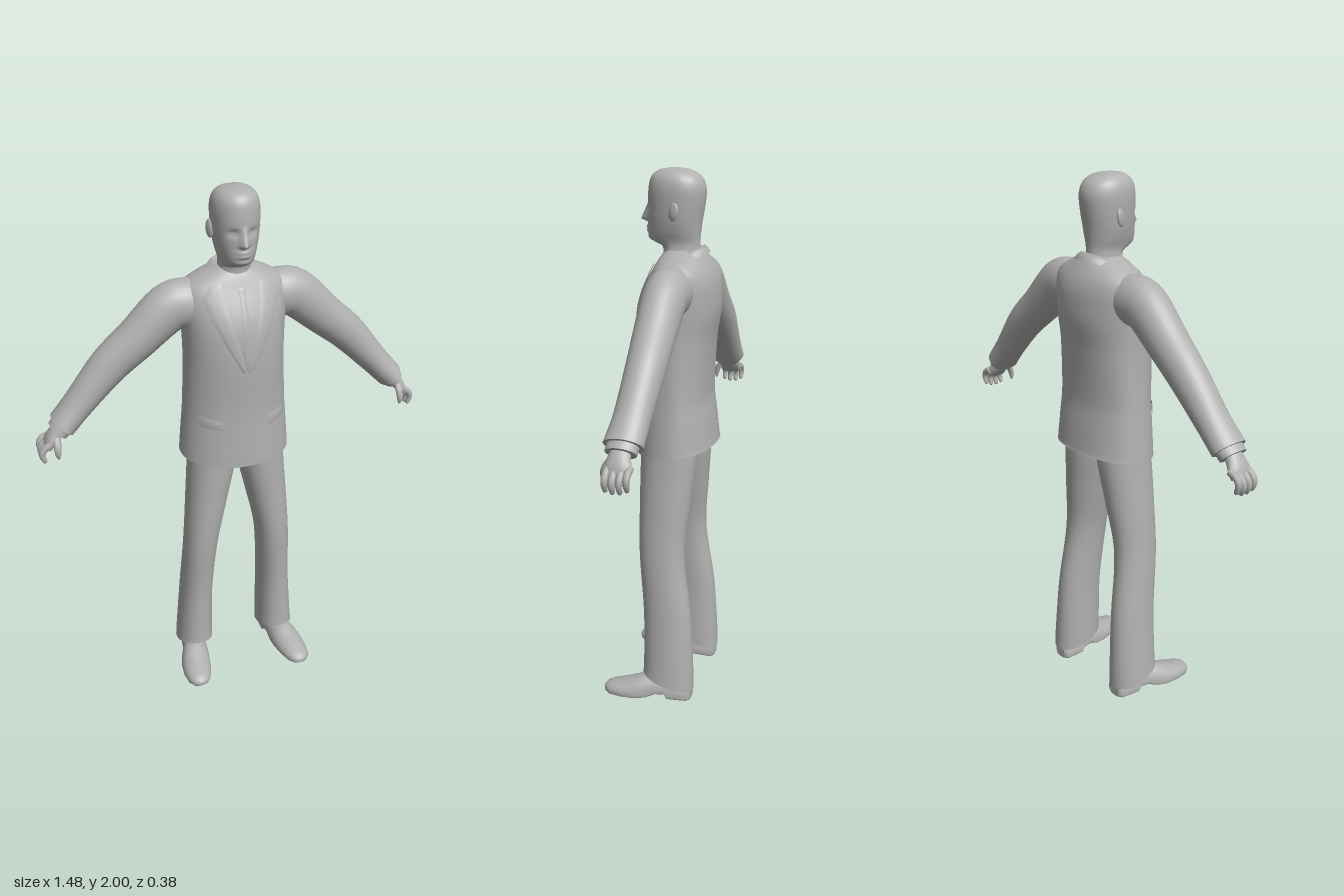
import * as THREE from 'three';

const V = (x, y, z) => new THREE.Vector3(x, y, z);
const suit = new THREE.MeshStandardMaterial({ color: 0xb0b0b0, side: THREE.DoubleSide });
suit.name = 'plain grey';

// Smooth interpolation through table rows keyed by their first column
function sample(table, t) {
  let i = 0;
  while (i < table.length - 2 && t > table[i + 1][0]) i++;
  const a = table[i], b = table[i + 1], p = table[Math.max(i - 1, 0)], q = table[Math.min(i + 2, table.length - 1)];
  const h = b[0] - a[0], u = Math.min(1, Math.max(0, (t - a[0]) / h));
  return a.slice(1).map((v, k) => {
    const w = b[k + 1], m0 = (w - p[k + 1]) / (b[0] - p[0]) * h, m1 = (q[k + 1] - v) / (q[0] - a[0]) * h;
    const u2 = u * u, u3 = u2 * u;
    return (2 * u3 - 3 * u2 + 1) * v + (u3 - 2 * u2 + u) * m0 + (3 * u2 - 2 * u3) * w + (u3 - u2) * m1;
  });
}

// Skin over closed rings of equal length, with flat caps
function loft(rings, caps = true) {
  const n = rings[0].length, pos = [], idx = [];
  rings.forEach(r => r.forEach(p => pos.push(p.x, p.y, p.z)));
  for (let i = 0; i < rings.length - 1; i++) for (let j = 0; j < n; j++) {
    const k = (j + 1) % n, a = i * n + j, b = i * n + k;
    idx.push(a, a + n, b, b, a + n, b + n);
  }
  if (caps) [rings[0], rings[rings.length - 1]].forEach((r, end) => {
    const c = pos.length / 3, m = r.reduce((s, p) => s.add(p), V(0, 0, 0)).divideScalar(n);
    [m, ...r].forEach(p => pos.push(p.x, p.y, p.z));
    for (let j = 0; j < n; j++) {
      const a = c + 1 + j, b = c + 1 + (j + 1) % n;
      end ? idx.push(c, b, a) : idx.push(c, a, b);
    }
  });
  return build(pos, idx);
}

function build(pos, idx) {
  const g = new THREE.BufferGeometry();
  g.setAttribute('position', new THREE.Float32BufferAttribute(pos, 3));
  g.setIndex(idx);
  g.computeVertexNormals();
  return g;
}

function mirrored(g) {
  const pos = Array.from(g.attributes.position.array, (v, i) => i % 3 ? v : -v);
  return build(pos, Array.from(g.index.array).reverse());
}

// Level ring with separate front and back depth
function ring(y, cx, hw, zf, zb, zc, e = 2, n = 40) {
  return Array.from({ length: n }, (_, j) => {
    const a = j / n * Math.PI * 2, c = Math.cos(a), s = Math.sin(a);
    const pw = v => Math.sign(v) * Math.abs(v) ** (2 / e);
    return V(cx + hw * pw(c), y, zc + (s > 0 ? zf - zc : zc - zb) * pw(s));
  });
}

// Round limb along points [x, y, z, radius, depthRadius]
function limb(pts, n = 20) {
  return loft(pts.map((p, i) => {
    const a = pts[Math.max(i - 1, 0)], b = pts[Math.min(i + 1, pts.length - 1)];
    const d = V(b[0] - a[0], b[1] - a[1], 0).normalize(), u = V(d.y, -d.x, 0);
    return Array.from({ length: n }, (_, j) => {
      const t = j / n * Math.PI * 2;
      return V(p[0], p[1], p[2]).addScaledVector(u, p[3] * Math.cos(t)).add(V(0, 0, p[4] * Math.sin(t)));
    });
  }));
}

// Smoothed limb: resamples the points
function smoothLimb(pts, steps, n) {
  const keyed = pts.map((p, i) => [i, ...p]);
  return limb(Array.from({ length: steps + 1 }, (_, i) => sample(keyed, i / steps * (pts.length - 1))), n);
}

// Jacket profile: y, half width, front z, back z
const jacketRows = [
  [0.99, 0.212, 0.105, -0.19], [1.1, 0.203, 0.102, -0.177], [1.2, 0.195, 0.1, -0.165], [1.4, 0.187, 0.107, -0.175],
  [1.5, 0.19, 0.1, -0.19], [1.56, 0.196, 0.085, -0.19], [1.61, 0.2, 0.063, -0.185], [1.65, 0.195, 0.042, -0.172],
  [1.675, 0.165, 0.03, -0.158], [1.7, 0.115, 0.018, -0.142], [1.72, 0.07, 0.0, -0.125]];
const ZC = -0.06, EXP = 2.15;
function frontZ(x, y) {
  const [hw, zf] = sample(jacketRows, y);
  return ZC + (zf - ZC) * Math.max(0, 1 - Math.abs(x / hw) ** EXP) ** (1 / EXP);
}

// Thin cloth piece lying on the jacket front between two edge lines
function patch(edgeA, edgeB, lift, rows = 24, cols = 6) {
  const A = edgeA.map((p, i) => [i, ...p]), B = edgeB.map((p, i) => [i, ...p]), pos = [], idx = [];
  const lerp = (T, t) => {
    const i = Math.min(Math.floor(t), T.length - 2), f = t - i;
    return [1, 2].map(k => T[i][k] * (1 - f) + T[i + 1][k] * f);
  };
  for (let r = 0; r <= rows; r++) {
    const t = r / rows * (A.length - 1), a = lerp(A, t), b = lerp(B, t);
    for (let c = 0; c <= cols; c++) {
      const x = a[0] + (b[0] - a[0]) * c / cols, y = a[1] + (b[1] - a[1]) * c / cols;
      const edge = c === 0 || c === cols || r === 0 || r === rows;
      pos.push(x, y, frontZ(x, y) + (edge ? lift * 0.6 : lift));
      if (r < rows && c < cols) {
        const i = r * (cols + 1) + c, d = i + cols + 1;
        idx.push(i, d, i + 1, i + 1, d, d + 1);
      }
    }
  }
  return build(pos, idx);
}

export function createModel() {
  const model = new THREE.Group();
  const add = (name, g) => {
    const m = new THREE.Mesh(g, suit);
    m.name = name;
    model.add(m);
  };
  const pair = (name, g) => { add('left ' + name, g); add('right ' + name, mirrored(g)); };

  // Jacket body with a hem dipping to the front
  const body = [];
  for (let i = 0; i <= 44; i++) {
    const y = 0.99 + 0.73 * i / 44, [hw, zf, zb] = sample(jacketRows, y);
    body.push(ring(y, 0, hw, zf, zb, ZC, EXP, 56));
  }
  body[0].forEach(p => { p.y -= 0.1 * (p.z + 0.04); });
  add('jacket', loft(body));

  // Collar, higher at the nape
  const collar = [[1.672, 0.105, 0.05, -0.152], [1.69, 0.092, 0.04, -0.145], [1.706, 0.074, 0.03, -0.133], [1.69, 0.062, 0.02, -0.122]]
    .map(([y, hw, zf, zb]) => ring(y, 0, hw, zf, zb, ZC));
  collar.forEach(r => r.forEach(p => { p.y -= 0.42 * (p.z + 0.06); }));
  add('collar', loft(collar, false));

  // Lapels, tie, front edge and pocket flaps
  pair('lapel', patch([[0.07, 1.68], [0.062, 1.62], [0.05, 1.56], [0.025, 1.46], [0, 1.37]],
    [[0.105, 1.67], [0.14, 1.63], [0.115, 1.56], [0.065, 1.46], [0.01, 1.36]], 0.007));
  add('tie', patch([[-0.014, 1.66], [-0.01, 1.63], [-0.02, 1.46], [0, 1.38]], [[0.014, 1.66], [0.01, 1.63], [0.02, 1.46], [0.001, 1.38]], 0.004));
  add('jacket front edge', patch([[-0.02, 1.37], [-0.035, 1.25], [-0.037, 1.0]], [[0.02, 1.37], [0.02, 1.25], [0.02, 1.0]], 0.004));
  pair('pocket flap', patch([[0.085, 1.175], [0.087, 1.135]], [[0.165, 1.185], [0.166, 1.145]], 0.006, 4));

  // Trouser legs: y, inner x, outer x, front z, back z
  const legRows = [[0.07, 0.105, 0.252, 0.042, -0.158], [0.18, 0.104, 0.243, 0.04, -0.153], [0.35, 0.102, 0.23, 0.043, -0.142],
    [0.6, 0.082, 0.215, 0.064, -0.11], [0.8, 0.04, 0.2, 0.07, -0.125], [0.97, 0.002, 0.187, 0.072, -0.14], [1.08, -0.01, 0.18, 0.07, -0.14]];
  const leg = [];
  for (let i = 0; i <= 30; i++) {
    const y = 0.07 + 1.01 * i / 30, [xi, xo, zf, zb] = sample(legRows, y);
    leg.push(ring(y, (xi + xo) / 2, (xo - xi) / 2, zf, zb, (zf + zb) / 2, 2.15, 32));
  }
  leg[0].forEach(p => { p.y = 0.088 + 0.3 * p.z; });
  pair('trouser leg', loft(leg));

  // Shoes with raised arch: z, centre x, half width, top, underside
  const shoeRows = [[-0.15, 0.175, 0.025, 0.06, 0], [-0.14, 0.175, 0.044, 0.075, 0], [-0.065, 0.18, 0.05, 0.09, 0], [-0.055, 0.181, 0.05, 0.09, 0.018],
    [-0.02, 0.188, 0.05, 0.095, 0.018], [0.02, 0.197, 0.058, 0.095, 0.004], [0.06, 0.205, 0.061, 0.077, 0], [0.11, 0.212, 0.058, 0.059, 0],
    [0.16, 0.217, 0.046, 0.046, 0], [0.182, 0.218, 0.03, 0.036, 0.003], [0.191, 0.218, 0.012, 0.025, 0.008]];
  pair('shoe', loft(shoeRows.map(([z, cx, hw, top, base]) => Array.from({ length: 28 }, (_, j) => {
    const a = j / 28 * Math.PI * 2, s = -Math.sin(a), mid = base + Math.min(0.018, (top - base) / 2);
    const x = Math.sign(Math.cos(a)) * Math.abs(Math.cos(a)) ** (s > 0 ? 1 : 0.5);
    return V(cx + hw * x, s > 0 ? mid + (top - mid) * s : mid + (mid - base) * -Math.sqrt(-s), z);
  }))));

  // Sleeves and shirt cuffs
  pair('sleeve', smoothLimb([[0.1, 1.595, -0.065, 0.075, 0.07], [0.17, 1.59, -0.062, 0.09, 0.08], [0.24, 1.575, -0.062, 0.088, 0.077],
    [0.355, 1.475, -0.065, 0.077, 0.072], [0.46, 1.385, -0.07, 0.07, 0.067], [0.575, 1.26, -0.066, 0.056, 0.063],
    [0.645, 1.185, -0.06, 0.051, 0.068]], 30, 28));
  pair('cuff', limb([[0.635, 1.195, -0.06, 0.042, 0.055], [0.663, 1.165, -0.058, 0.04, 0.054]]));

  // Hands with curled fingers
  pair('palm', smoothLimb([[0.648, 1.185, -0.058, 0.024, 0.034], [0.67, 1.16, -0.058, 0.024, 0.037], [0.692, 1.13, -0.06, 0.022, 0.046],
    [0.706, 1.105, -0.062, 0.016, 0.044]], 9));
  [[-0.1, 0.012], [-0.076, 0.002], [-0.051, 0], [-0.027, 0.005]].forEach(([z, up], i) =>
    pair('finger ' + (i + 1), smoothLimb([[0.69, 1.13, z, 0.013, 0.012], [0.722, 1.103 + up, z, 0.013, 0.012],
      [0.731, 1.078 + up, z, 0.011, 0.011], [0.722, 1.054 + up, z, 0.008, 0.008], [0.72, 1.05 + up, z, 0.003, 0.003]], 10, 10)));
  pair('thumb', smoothLimb([[0.672, 1.155, -0.035, 0.014, 0.015], [0.675, 1.125, -0.012, 0.014, 0.013],
    [0.676, 1.095, -0.003, 0.011, 0.01], [0.675, 1.075, -0.004, 0.004, 0.004]], 8, 10));

  // Head and neck: y, half width, front z, back z; the face is shaped by soft bumps
  const headRows = [[1.66, 0.062, 0.02, -0.12], [1.73, 0.057, 0.018, -0.117], [1.742, 0.057, 0.045, -0.117], [1.755, 0.06, 0.07, -0.117],
    [1.78, 0.068, 0.075, -0.119], [1.82, 0.077, 0.073, -0.124], [1.88, 0.083, 0.073, -0.134], [1.93, 0.084, 0.07, -0.137],
    [1.965, 0.076, 0.062, -0.124], [1.985, 0.06, 0.045, -0.1], [1.996, 0.038, 0.02, -0.07], [2, 0.012, -0.01, -0.04]];
  const bump = (v, c, w) => Math.exp(-(((v - c) / w) ** 2));
  const head = [];
  for (let i = 0; i <= 68; i++) {
    const y = 1.66 + 0.34 * i / 68, [hw, zf, zb] = sample(headRows, y);
    const r = ring(y, 0, hw, zf, zb, -0.035, 2.1, 64);
    const nose = y < 1.822 ? bump(y, 1.822, 0.008) : Math.max(0, 1 - (y - 1.822) / 0.065);
    r.forEach(p => {
      if (p.z < 0) return;
      const ax = Math.abs(p.x);
      p.z += 0.03 * nose * bump(p.x, 0, 0.008 + 0.006 * nose)
        - 0.012 * bump(ax, 0.034, 0.018) * bump(y, 1.862, 0.013) + 0.004 * bump(ax, 0.033, 0.012) * bump(y, 1.86, 0.006)
        + 0.006 * bump(p.x, 0, 0.022) * (bump(y, 1.797, 0.005) + bump(y, 1.783, 0.005))
        - 0.004 * bump(p.x, 0, 0.025) * bump(y, 1.769, 0.006);
    });
    head.push(r);
  }
  add('head', loft(head));

  // Ears
  const ear = new THREE.SphereGeometry(1, 16, 12);
  ear.scale(0.009, 0.032, 0.02).rotateY(-0.35).rotateX(-0.15).translate(0.086, 1.855, -0.045);
  pair('ear', ear);
  return model;
}
